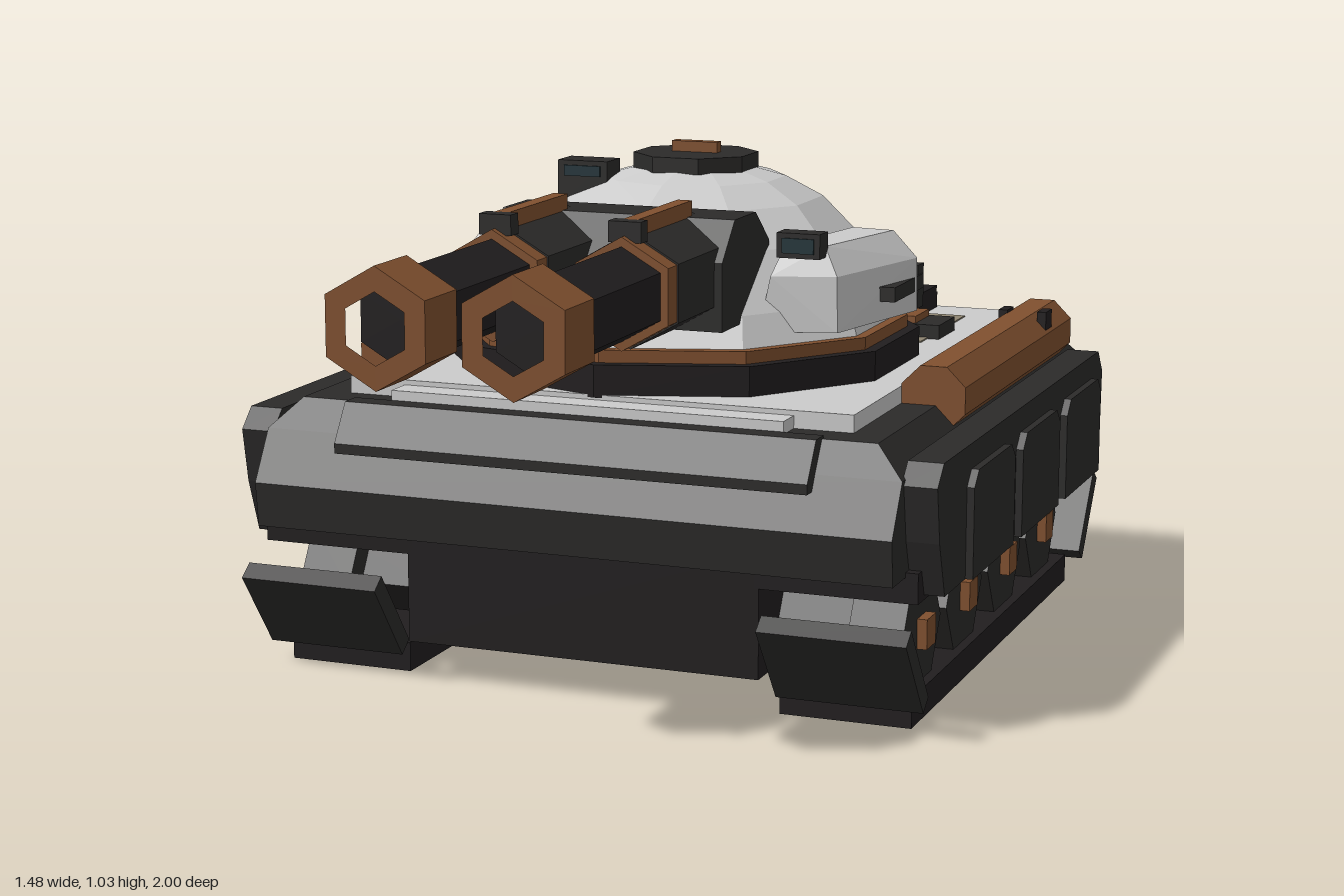
import * as THREE from 'three';
import { ConvexGeometry } from 'three/addons/geometries/ConvexGeometry.js';

const mat = (color) => new THREE.MeshStandardMaterial({ color, flatShading: true });
const GREY = mat(0xcccccc), DARK = mat(0x2c2b2a), BLACK = mat(0x211e1f), RUST = mat(0x80502f),
  ORANGE = mat(0xb06c2c), KHAKI = mat(0x8f8672), TEAL = mat(0x22343a);

export function createModel() {
  const model = new THREE.Group();
  model.name = 'tank';

  const add = (name, geo, material) => {
    const mesh = new THREE.Mesh(geo, material);
    mesh.name = name;
    model.add(mesh);
    return mesh;
  };
  // Box given by its limits on each axis
  const box = (name, m, x0, x1, y0, y1, z0, z1) => {
    const g = new THREE.BoxGeometry(Math.abs(x1 - x0), y1 - y0, Math.abs(z1 - z0));
    return add(name, g.translate((x0 + x1) / 2, (y0 + y1) / 2, (z0 + z1) / 2), m);
  };
  // Side profile in [z, y], extruded across x
  const prism = (name, m, pts, x, width) => {
    const shape = new THREE.Shape(pts.map((p) => new THREE.Vector2(p[0], p[1])));
    const g = new THREE.ExtrudeGeometry(shape, { depth: width, bevelEnabled: false });
    return add(name, g.translate(0, 0, -width / 2).rotateY(-Math.PI / 2).translate(x, 0, 0), m);
  };
  // Polygonal rod along z
  const rod = (name, m, r, x, y, z0, z1, sides = 6, start = 0) => {
    const g = new THREE.CylinderGeometry(r, r, z1 - z0, sides, 1, false, start);
    return add(name, g.rotateX(Math.PI / 2).translate(x, y, (z0 + z1) / 2), m);
  };
  // Polygonal disc standing upright
  const disc = (name, m, r, y0, y1, z, sides) =>
    add(name, new THREE.CylinderGeometry(r, r, y1 - y0, sides).translate(0, (y0 + y1) / 2, z), m);
  const convex = (name, m, pts) =>
    add(name, new ConvexGeometry(pts.map((p) => new THREE.Vector3(...p))), m);

  // Hull
  box('belly', BLACK, -0.37, 0.37, 0.08, 0.33, -0.86, 0.4);
  const half = [[0.66, 0.31, 0.48], [0.66, 0.4, 0.49], [0.66, 0.5, 0.43], [0.6, 0.56, 0.39],
    [0.6, 0.56, -0.9], [0.66, 0.49, -0.96], [0.66, 0.32, -0.96]];
  convex('upperHull', DARK, half.flatMap(([x, y, z]) => [[x, y, z], [-x, y, z]]));
  box('deck', GREY, -0.53, 0.53, 0.55, 0.595, -0.91, 0.32);
  box('deckFrontStep', GREY, -0.41, 0.41, 0.55, 0.585, 0.3, 0.38);
  prism('glacisPlate', DARK, [[0.4, 0.47], [0.475, 0.47], [0.475, 0.49], [0.425, 0.565], [0.38, 0.565]], 0, 0.98);
  box('rearBeam', RUST, -0.59, 0.59, 0.43, 0.525, -1, -0.915);

  // Engine grille and deck fittings
  box('khakiPanelRear', KHAKI, -0.43, 0.43, 0.59, 0.598, -0.79, -0.67);
  box('khakiPanelFront', KHAKI, -0.43, 0.43, 0.59, 0.598, -0.58, -0.45);
  box('grilleBase', BLACK, -0.335, 0.335, 0.59, 0.63, -0.895, -0.72);
  for (const x of [-0.32, -0.165, -0.055, 0.055, 0.165, 0.32]) {
    box('grilleRib', BLACK, x - 0.015, x + 0.015, 0.62, 0.645, -0.89, -0.725);
  }

  for (const s of [-1, 1]) {
    // Running gear
    box('trackShelf', BLACK, s * 0.36, s * 0.685, 0.26, 0.32, -0.86, 0.4);
    box('trackRun', BLACK, s * 0.395, s * 0.66, 0, 0.06, -0.84, 0.345);
    for (const z of [0.22, -0.08, -0.385, -0.69]) {
      const wheel = new THREE.CylinderGeometry(0.13, 0.13, 0.11, 6).rotateZ(Math.PI / 2);
      add('wheel', wheel.translate(s * 0.585, 0.16, z), DARK);
      const axle = new THREE.CylinderGeometry(0.07, 0.07, 0.18, 6).rotateZ(Math.PI / 2);
      add('axle', axle.translate(s * 0.45, 0.16, z), BLACK);
      box('wheelHub', RUST, s * 0.62, s * 0.66, 0.13, 0.19, z - 0.03, z + 0.03);
    }
    for (const [z, y, dir] of [[0.42, 0.135, 1], [-0.91, 0.14, -1]]) {
      const flap = add('mudFlap', new THREE.BoxGeometry(0.295, 0.2, 0.04), DARK);
      flap.position.set(s * 0.545, y, z);
      flap.rotation.x = dir * 0.64;
    }

    // Side skirt with raised panels
    prism('sideSkirt', DARK, [[0.42, 0.49], [0.38, 0.53], [-0.83, 0.53], [-0.87, 0.48],
      [-0.86, 0.27], [0.36, 0.27], [0.4, 0.38]], s * 0.69, 0.07);
    for (const z of [0.07, -0.29, -0.65]) {
      prism('skirtPanel', DARK, [[z - 0.15, 0.27], [z + 0.15, 0.27], [z + 0.15, 0.45],
        [z + 0.12, 0.48], [z - 0.12, 0.48], [z - 0.15, 0.45]], s * 0.73, 0.02);
    }

    // Stowage roll, clips and deck boxes
    rod('stowageRoll', RUST, 0.071, s * 0.595, 0.573, -0.83, 0.015, 8, Math.PI / 8);
    for (const x of [0.56, 0.645]) {
      box('rollClip', BLACK, s * (x - 0.01), s * (x + 0.01), 0.6, 0.645, -0.68, -0.63);
    }
    box('deckBox', DARK, s * 0.3, s * 0.455, 0.59, 0.625, -0.62, -0.5);
    box('deckBoxHandle', RUST, s * 0.36, s * 0.4, 0.62, 0.64, -0.61, -0.51);
    box('rearBeamLight', ORANGE, s * 0.1, s * 0.38, 0.52, 0.53, -0.965, -0.94);
    box('rearBeamBolt', DARK, s * 0.22, s * 0.26, 0.53, 0.54, -0.93, -0.915);

    // Turret cheek armour
    convex('cheekArmour', GREY, [[0.26, 0.7, 0.1], [0.41, 0.7, 0.06], [0.48, 0.7, -0.25], [0.38, 0.7, -0.29],
      [0.28, 0.81, 0.09], [0.405, 0.81, 0.05], [0.48, 0.81, -0.245], [0.38, 0.81, -0.28],
      [0.29, 0.865, 0.03], [0.37, 0.865, 0.02], [0.43, 0.865, -0.24], [0.34, 0.865, -0.25]]
      .map(([x, y, z]) => [s * x, y, z]));
    box('cheekRail', DARK, s * 0.42, s * 0.478, 0.74, 0.77, -0.3, -0.1);
    box('cheekBracket', DARK, s * 0.44, s * 0.475, 0.7, 0.79, -0.31, -0.27);

    // Gun: sleeve, collar, barrel and hollow muzzle
    const x = s * 0.132, y = 0.83;
    rod('gunSleeve', DARK, 0.112, x, y, 0.15, 0.46);
    rod('gunCollar', RUST, 0.108, x, y, 0.455, 0.505);
    rod('gunBarrel', BLACK, 0.09, x, y, 0.5, 0.9);
    const hex = (r) => Array.from({ length: 6 }, (_, i) =>
      new THREE.Vector2(r * Math.sin(i * Math.PI / 3), r * Math.cos(i * Math.PI / 3)));
    const ring = new THREE.Shape(hex(0.112));
    ring.holes.push(new THREE.Path(hex(0.066)));
    const muzzle = new THREE.ExtrudeGeometry(ring, { depth: 0.13, bevelEnabled: false });
    add('muzzle', muzzle.translate(x, y, 0.87), RUST);
    box('gunTopRail', RUST, x - 0.015, x + 0.015, 0.92, 0.965, 0.175, 0.46);
    box('gunSight', DARK, x - 0.033, x + 0.033, 0.925, 0.965, 0.455, 0.49);
  }

  // Turret rings and faceted dome, leaning back towards the top
  disc('turretRing', BLACK, 0.49, 0.59, 0.655, -0.165, 10);
  disc('turretTrim', RUST, 0.465, 0.65, 0.68, -0.165, 10);
  const profile = [[0.445, 0.675], [0.42, 0.74], [0.345, 0.85], [0.27, 0.92], [0.19, 0.96], [0.1, 0.983], [0, 0.985]];
  const dome = new THREE.LatheGeometry(profile.map((p) => new THREE.Vector2(...p)), 10);
  const pos = dome.attributes.position;
  for (let i = 0; i < pos.count; i++) {
    pos.setZ(i, pos.getZ(i) - 0.165 - 0.07 * (pos.getY(i) - 0.675) / 0.31);
  }
  add('turretDome', dome, GREY);
  disc('hatch', DARK, 0.13, 0.975, 1.008, -0.235, 8).geometry
    .translate(0, 0, 0.235).rotateY(Math.PI / 8).translate(0, 0, -0.235);
  box('hatchHandle', RUST, -0.05, 0.05, 1, 1.03, -0.25, -0.225);

  // Gun mantlet
  prism('mantlet', DARK, [[0.0, 0.725], [0.27, 0.725], [0.27, 0.86], [0.2, 0.935], [0.08, 0.935], [0, 0.87]], 0, 0.49);

  // Periscopes
  box('topPeriscope', DARK, -0.255, -0.145, 0.9, 0.995, -0.17, -0.1);
  box('topPeriscopeGlass', TEAL, -0.24, -0.16, 0.963, 0.985, -0.11, -0.096);
  box('sidePeriscope', DARK, 0.285, 0.375, 0.845, 0.895, 0.02, 0.07);
  box('sidePeriscopeGlass', TEAL, 0.297, 0.363, 0.855, 0.885, 0.06, 0.074);
  return model;
}
